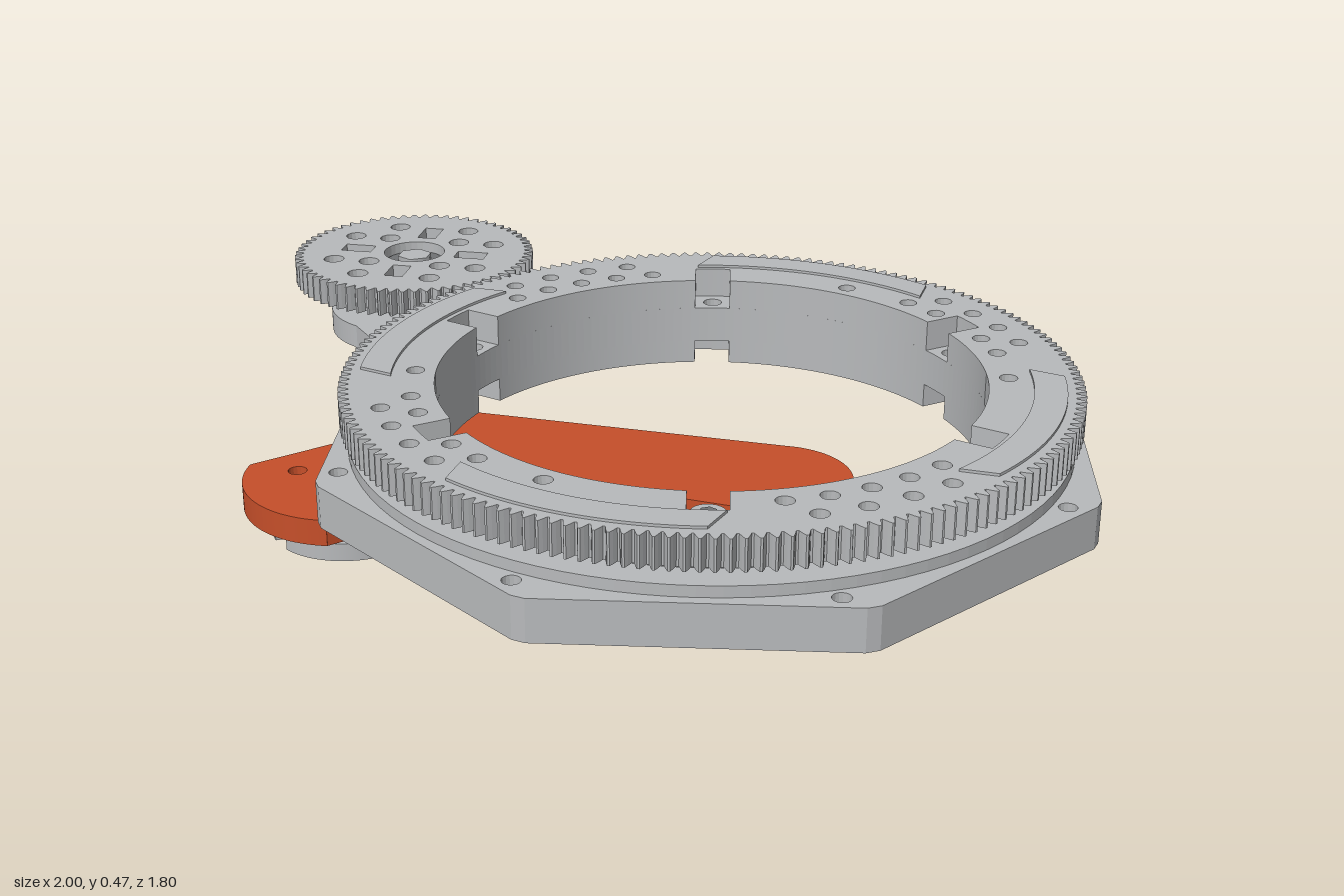
import * as THREE from 'three';

const grey = new THREE.MeshStandardMaterial({ color: 0xb8babc });
grey.name = 'aluminiumGrey';
const darkGrey = new THREE.MeshStandardMaterial({ color: 0x707274 });
darkGrey.name = 'holeGrey';
const orange = new THREE.MeshStandardMaterial({ color: 0xc64f2a });
orange.name = 'armOrange';
const red = new THREE.MeshStandardMaterial({ color: 0xd90d10 });
red.name = 'spacerRed';

const DEG = Math.PI / 180;
const RING = [0.155, 0.055];   // turntable centre (x, z)
const PINION = [-0.705, -0.61];
const HUB = [-0.675, 0.065];

const at = (r, deg, c = [0, 0]) => [c[0] + r * Math.cos(deg * DEG), c[1] + r * Math.sin(deg * DEG)];

// closed outline whose radius is a function of the angle in degrees
function polar(n, radius) {
  const pts = [];
  for (let i = 0; i < n; i++) {
    const a = (360 * i) / n;
    pts.push(new THREE.Vector2(...at(radius(a), a)));
  }
  return pts;
}
const gearOutline = (teeth, outer, depth) =>
  polar(teeth * 6, (a) => {
    const phase = Math.round((a * teeth * 6) / 360) % 6;
    return phase < 2 ? outer : phase === 2 || phase === 5 ? outer - depth * 0.45 : outer - depth;
  });
const circle = (r, n = 96) => polar(n, () => r);
const hole = ([x, y], r, n = 16) => new THREE.Path(circle(r, n).map((p) => p.add(new THREE.Vector2(x, y))));
const slot = ([x, y], hw, hh) => new THREE.Path([
  new THREE.Vector2(x - hw, y - hh), new THREE.Vector2(x + hw, y - hh),
  new THREE.Vector2(x + hw, y + hh), new THREE.Vector2(x - hw, y + hh)]);

// horizontal plate between two heights; shape coordinates are (x, z)
function plate(parent, name, outline, holes, y0, y1, mat = grey) {
  const shape = outline instanceof THREE.Shape ? outline : new THREE.Shape(outline);
  shape.holes.push(...holes);
  const geo = new THREE.ExtrudeGeometry(shape, { depth: y1 - y0, bevelEnabled: false, curveSegments: 32 });
  geo.rotateX(Math.PI / 2).translate(0, y1, 0);
  const mesh = new THREE.Mesh(geo, mat);
  mesh.name = name;
  parent.add(mesh);
  return mesh;
}
function post(parent, name, r, y0, y1, [x, z] = [0, 0], sides = 32, mat = grey) {
  const mesh = new THREE.Mesh(new THREE.CylinderGeometry(r, r, y1 - y0, sides), mat);
  mesh.position.set(x, (y0 + y1) / 2, z);
  mesh.name = name;
  parent.add(mesh);
  return mesh;
}
function group(parent, name, [x, z]) {
  const g = new THREE.Group();
  g.name = name;
  g.position.set(x, 0, z);
  parent.add(g);
  return g;
}
const apart = (a, b) => Math.abs(((a - b + 540) % 360) - 180);

function buildTurntable(root) {
  const g = group(root, 'turntable', RING);
  const tabs = [21, 81, 141, 201, 261, 321];
  const nearTab = (a, d) => tabs.some((t) => apart(a, t) < d);

  // bolt hole pattern of the ring
  const innerHoles = [], outerHoles = [];
  for (const c of [52, 142, 232, 322]) {
    for (const d of [-16, -8, 0, 8, 16]) if (!nearTab(c + d, 7)) innerHoles.push(at(0.648, c + d));
    for (const d of [-12, -4, 4, 12]) outerHoles.push(at(0.718, c + d));
  }
  for (const a of [111, 171, 291, 351]) innerHoles.push(at(0.64, a));
  const tabHoles = tabs.map((a) => at(0.635, a));
  const inner = () => innerHoles.map((p) => hole(p, 0.02));
  const outer = () => outerHoles.map((p) => hole(p, 0.02));
  const notched = () => new THREE.Path(polar(720, (a) => (nearTab(a, 4) ? 0.678 : 0.595)));

  // toothed ring, open at the tabs, over a plain core with a notched foot
  plate(g, 'ringGear', gearOutline(176, 0.8, 0.022), [notched(), ...inner(), ...outer()], 0.395, 0.465);
  plate(g, 'ringCore', circle(0.705), [hole([0, 0], 0.595, 180), ...inner(), ...tabHoles.map((p) => hole(p, 0.022))], 0.31, 0.395);
  plate(g, 'ringFoot', circle(0.705), [notched(), ...inner()], 0.255, 0.31);
  post(g, 'tabBolt', 0.036, 0.395, 0.44, at(0.635, 81), 20);
  post(g, 'tabBoltSocket', 0.018, 0.44, 0.443, at(0.635, 81), 6, darkGrey);

  // thin raised pads on top of the ring
  for (const c of [12, 102, 192, 282]) {
    const pts = [];
    for (let d = -21; d <= 21; d += 2) pts.push(at(0.76, c + d));
    for (let d = 24; d >= -24; d -= 2) pts.push(at(0.69, c + d));
    plate(g, 'ringPad', pts.map((p) => new THREE.Vector2(...p)), [], 0.465, 0.471);
  }

  // octagonal base with clipped corners and a bearing lip
  const corners = [];
  for (let k = 0; k < 8; k++)
    for (const d of [-1, 1]) corners.push(new THREE.Vector2(...at(0.868, 15 + 45 * k + d)));
  const cornerHoles = [];
  for (let k = 0; k < 8; k++) cornerHoles.push(hole(at(0.815, 18 + 45 * k), 0.02));
  plate(g, 'octagonBase', corners, [hole([0, 0], 0.718, 128), ...cornerHoles], 0.24, 0.335);
  plate(g, 'bearingLip', circle(0.785), [hole([0, 0], 0.712, 128)], 0.335, 0.36);

  // side holes on every face of the octagon
  for (let k = 0; k < 8; k++) {
    const face = new THREE.Group();
    face.name = 'baseSide';
    face.rotation.y = -(37.5 + 45 * k) * DEG;
    for (const v of [-0.27, -0.18, 0.18, 0.27]) {
      const rim = new THREE.Mesh(new THREE.RingGeometry(0.013, 0.023, 20), darkGrey);
      rim.rotation.y = Math.PI / 2;
      rim.position.set(0.806, 0.287, v);
      rim.name = 'sideHole';
      face.add(rim);
    }
    g.add(face);
  }

  // motor bracket reaching out to the pinion
  const bracket = new THREE.Group();
  bracket.name = 'motorBracket';
  bracket.rotation.y = -217.6 * DEG;
  g.add(bracket);
  const tongue = new THREE.Shape();
  tongue.moveTo(0.8, -0.25);
  tongue.lineTo(0.86, -0.25);
  tongue.absarc(1.087, 0, 0.21, -100 * DEG, 100 * DEG, false);
  tongue.lineTo(0.86, 0.25);
  tongue.lineTo(0.8, 0.25);
  const boltHoles = [0, 90, 180, 270].map((a) => hole(at(0.125, a + 37.6, [1.087, 0]), 0.02));
  plate(bracket, 'bracketPlate', tongue, [hole([1.087, 0], 0.07, 32), ...boltHoles], 0.27, 0.327);
  const flange = new THREE.Mesh(new THREE.BoxGeometry(0.045, 0.085, 0.64), grey);
  flange.position.set(0.827, 0.285, 0);
  flange.name = 'bracketFlange';
  bracket.add(flange);
  for (const v of [-0.28, 0.28]) {
    const knob = post(bracket, 'flangeBolt', 0.036, 0.265, 0.305, [0.868, v], 20);
    knob.rotation.z = Math.PI / 2;
  }
}

function buildPinion(root) {
  const g = group(root, 'pinionDrive', PINION);
  const holes = [hole([0, 0], 0.075, 32)];
  for (const sx of [-1, 1])
    for (const sz of [-1, 1])
      for (const [x, z] of [[0.09, 0.18], [0.18, 0.09], [0.09, 0.09], [0.18, 0.18]])
        if (x + z < 0.3) holes.push(hole([sx * x, sz * z], 0.025));
  for (const s of [-0.145, 0.145]) holes.push(slot([s, 0], 0.038, 0.023), slot([0, s], 0.023, 0.038));
  plate(g, 'pinionGear', gearOutline(64, 0.295, 0.021), holes, 0.4, 0.462);

  // hub and stepped shaft
  post(g, 'pinionHub', 0.074, 0.33, 0.435);
  post(g, 'hubFace', 0.072, 0.435, 0.438, [0, 0], 32, darkGrey);
  post(g, 'hexShaftEnd', 0.042, 0.43, 0.455, [0, 0], 6);
  post(g, 'shaftNeck', 0.043, 0.17, 0.335);
  post(g, 'motorShaft', 0.052, 0.005, 0.155);
  post(g, 'shaftCollar', 0.048, 0.16, 0.178);

  // red spacers under the bracket
  for (let k = 0; k < 4; k++) {
    post(g, 'spacer', 0.035, 0.198, 0.27, at(0.125, 90 * k), 24, red);
    post(g, 'spacerBore', 0.016, 0.196, 0.199, at(0.125, 90 * k), 16, darkGrey);
  }
}

function buildArm(root) {
  // bent arm with a round tip and a round heel about the hub
  const s = new THREE.Shape();
  s.moveTo(-0.915, 0.055);
  s.lineTo(-0.535, -0.325);
  s.lineTo(-0.5, -0.342);
  s.lineTo(0.294, -0.284);
  s.absarc(0.28, -0.107, 0.178, -85.6 * DEG, 98 * DEG, false);
  s.lineTo(-0.335, -0.02);
  s.lineTo(-0.65, 0.303);
  s.absarc(HUB[0], HUB[1], 0.24, 84 * DEG, 180 * DEG, false);
  const arm = [0, 90, 180, 270].map((a) => hole(at(0.122, a, HUB), 0.022));
  plate(root, 'arm', s, arm, 0.095, 0.157, orange);

  // mounting hub below the heel
  const g = group(root, 'armHub', HUB);
  const bores = () => [0, 45, 90, 135, 180, 225, 270, 315].map((a) => hole(at(0.122, a), a % 90 ? 0.014 : 0.022));
  const notchedRim = polar(360, (a) => (apart(a % 90, 45) < 9 ? 0.145 : 0.18));
  plate(g, 'hubFlange', notchedRim, [hole([0, 0], 0.04, 24), ...bores()], 0.028, 0.07);
  plate(g, 'hubTop', circle(0.165, 48), [hole([0, 0], 0.04, 24), ...bores()], 0.07, 0.095);
  plate(g, 'hubBoss', circle(0.065, 32), [hole([0, 0], 0.04, 6)], 0, 0.028);
}

export function createModel() {
  const root = new THREE.Group();
  root.name = 'turntableAssembly';
  buildTurntable(root);
  buildPinion(root);
  buildArm(root);
  return root;
}
